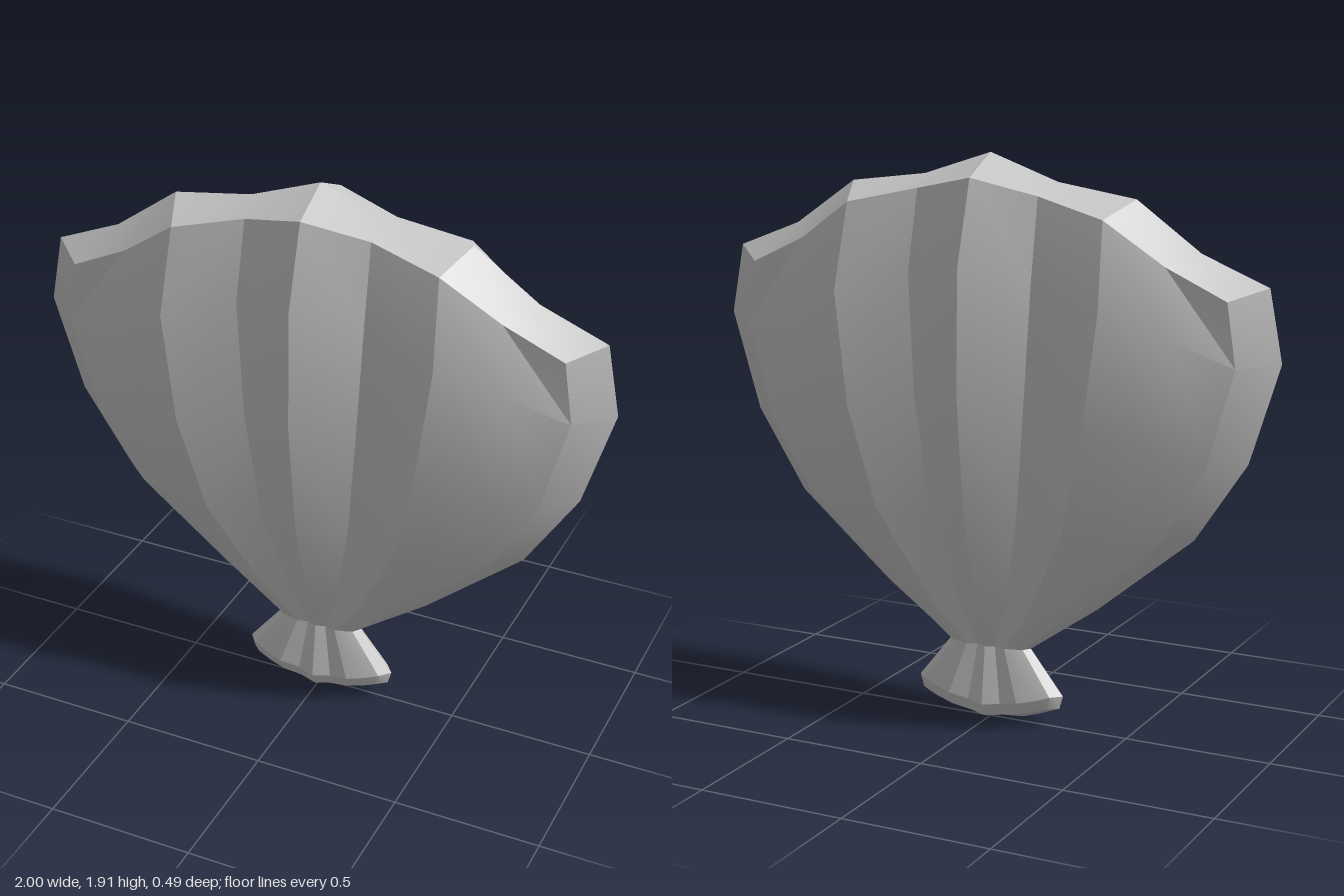
import * as THREE from 'three';
import { toCreasedNormals } from 'three/addons/utils/BufferGeometryUtils.js';

// Six columns from the middle rib (0) to the side edge (5)
const SPREAD = [0, 0.22, 0.47, 0.7, 0.88, 1];
const DROP = [0, 0.15, 0.45, 0.75, 1.05, 1];
const RIBS = [1, 0.67, 0.87, 0.62, 0.37, 0];
const KNOB_RIBS = [1, 0.75, 0.92, 0.75, 0.55, 0];

// A cross-section: half width, height at the edge and middle, half depth
function section(width, edgeY, midY, depth, ribs = RIBS) {
  return SPREAD.map((s, i) => [s * width, midY + (edgeY - midY) * DROP[i], ribs[i] * depth]);
}

// Skin sections from bottom to top, mirrored left/right and front/back
function loft(sections) {
  const pos = [];
  const point = (r, c, side) => {
    const [x, y, z] = sections[r][Math.abs(c)];
    const px = x * Math.sign(c);
    return new THREE.Vector3(px, y + 0.009 * px * y, z * side); // slight lean
  };
  const tri = (a, b, c) => {
    const n = b.clone().sub(a).cross(c.clone().sub(a));
    if (n.length() > 1e-7) for (const p of [a, b, c]) pos.push(p.x, p.y, p.z);
  };
  for (let r = 0; r < sections.length - 1; r++) {
    for (let c = -5; c < 5; c++) {
      for (const side of [1, -1]) {
        const q = [point(r, c, side), point(r, c + 1, side), point(r + 1, c + 1, side), point(r + 1, c, side)];
        if (side < 0) q.reverse();
        // mirror the diagonals across the middle
        if ((c < 0) === (side > 0)) {
          tri(q[0], q[1], q[2]);
          tri(q[0], q[2], q[3]);
        } else {
          tri(q[0], q[1], q[3]);
          tri(q[1], q[2], q[3]);
        }
      }
    }
  }
  const geometry = new THREE.BufferGeometry();
  geometry.setAttribute('position', new THREE.Float32BufferAttribute(pos, 3));
  return toCreasedNormals(geometry, 0.35);
}

export function createModel() {
  const group = new THREE.Group();
  const material = new THREE.MeshStandardMaterial({ color: 0xcccccc });
  const add = (name, sections) => {
    const mesh = new THREE.Mesh(loft(sections), material);
    mesh.name = name;
    group.add(mesh);
  };
  const waist = section(0.15, 0.26, 0.26, 0.045, KNOB_RIBS);

  // Fan-shaped shell with a bevelled, scalloped top closing to a crest
  const corner = [0.955, 1.545, 0];
  const rim = [[0, 1.84, 0.15], [0.215, 1.79, 0.1], [0.455, 1.735, 0.14], [0.65, 1.6, 0.105], [0.85, 1.505, 0.09], corner];
  const crest = [[0, 1.91, 0], [0.24, 1.828, 0], [0.51, 1.79, 0], [0.73, 1.635, 0], corner, corner];
  add('shell', [
    waist,
    section(0.39, 0.43, 0.4, 0.1),
    section(0.725, 0.71, 0.75, 0.2),
    section(0.9, 0.98, 1.15, 0.245),
    section(1, 1.31, 1.56, 0.237),
    rim,
    crest,
  ]);

  // Flared foot below the waist, closing to a keel underneath
  const lip = section(0.257, 0.065, 0.018, 0.052, KNOB_RIBS);
  const keelY = [0, 0.012, 0.016, 0.035];
  const keel = lip.map(([x], i) => (i < 4 ? [x, keelY[i], 0] : lip[5]));
  add('foot', [keel, lip, section(0.27, 0.11, 0.06, 0.07, KNOB_RIBS), waist]);

  return group;
}
